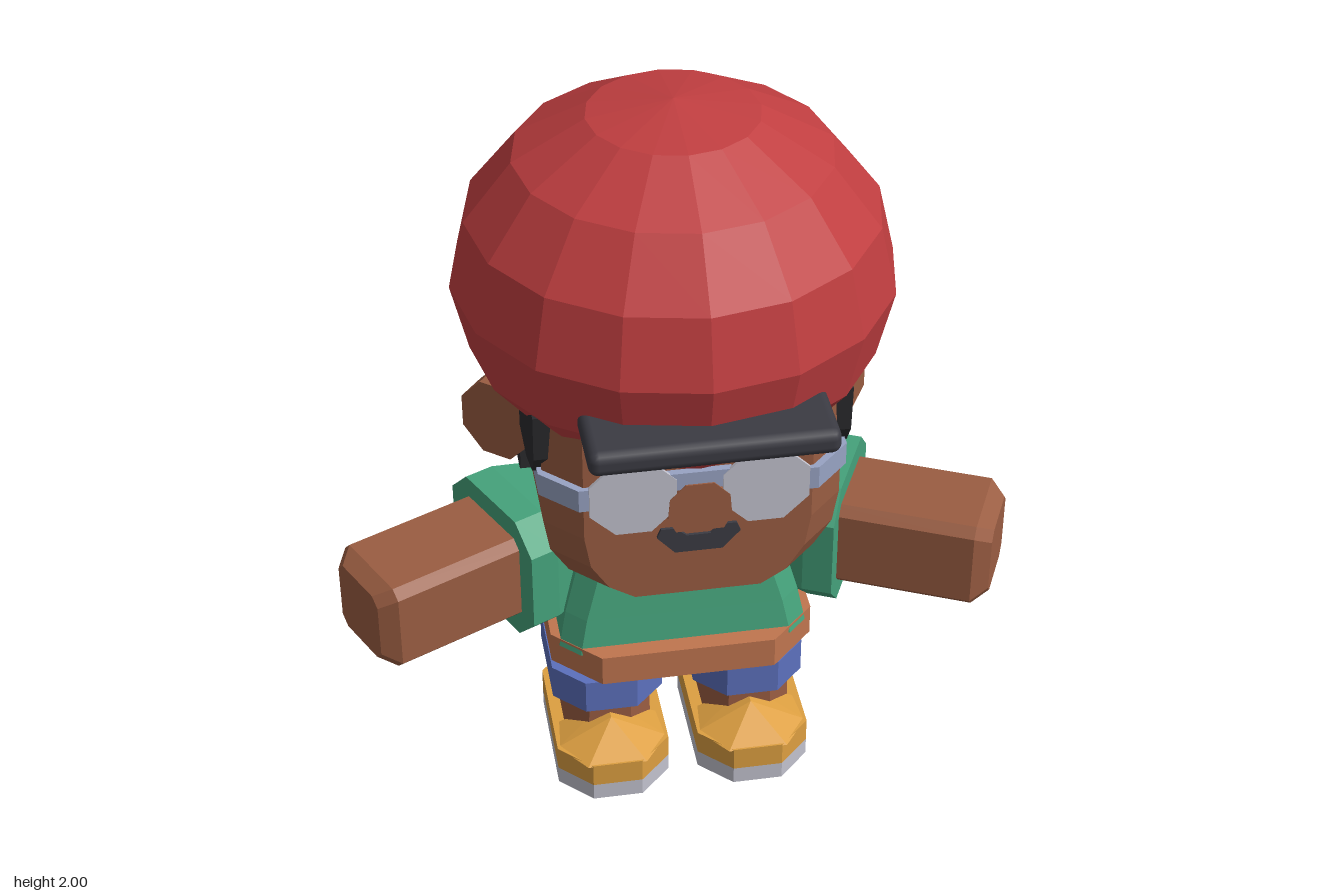
import * as THREE from 'three';
import { RoundedBoxGeometry } from 'three/addons/geometries/RoundedBoxGeometry.js';
import { ConvexGeometry } from 'three/addons/geometries/ConvexGeometry.js';

const mat = (name, color, side = THREE.FrontSide) => {
  const m = new THREE.MeshStandardMaterial({ color, side });
  m.name = name;
  return m;
};

// Chamfered block: octagonal rings [y, halfWidth, zBack, zFront, chamferBack, chamferFront]
function loft(rings) {
  const loops = rings.map(([y, w, z0, z1, cb, cf = cb]) => [
    [w - cf, y, z1], [w, y, z1 - cf], [w, y, z0 + cb], [w - cb, y, z0],
    [cb - w, y, z0], [-w, y, z0 + cb], [-w, y, z1 - cf], [cf - w, y, z1],
  ]);
  const pos = [];
  const tri = (...pts) => pts.forEach((p) => pos.push(...p));
  for (let r = 0; r < loops.length - 1; r++) {
    for (let i = 0; i < 8; i++) {
      const j = (i + 1) % 8, lo = loops[r], hi = loops[r + 1];
      tri(lo[i], lo[j], hi[j]);
      tri(lo[i], hi[j], hi[i]);
    }
  }
  const bottom = loops[0], top = loops[loops.length - 1];
  for (let i = 1; i < 7; i++) {
    tri(bottom[0], bottom[i + 1], bottom[i]);
    tri(top[0], top[i], top[i + 1]);
  }
  const g = new THREE.BufferGeometry();
  g.setAttribute('position', new THREE.Float32BufferAttribute(pos, 3));
  g.computeVertexNormals();
  return g;
}

const shapeOf = (pts) => new THREE.Shape(pts.map((p) => new THREE.Vector2(...p)));
const plate = (pts, depth) =>
  new THREE.ExtrudeGeometry(shapeOf(pts), { depth, bevelEnabled: false });

// Regular octagon with flat sides
const octagon = (rx, ry) => Array.from({ length: 8 }, (_, i) => {
  const a = (i + 0.5) * Math.PI / 4, k = Math.cos(Math.PI / 8);
  return [rx * Math.cos(a) / k, ry * Math.sin(a) / k];
});

export function createModel() {
  const model = new THREE.Group();
  const red = mat('cap red', 0xc03e40);
  const skin = mat('skin brown', 0x9a5d42);
  const green = mat('shirt green', 0x45a27b);
  const gold = mat('shoe gold', 0xdd9f41);
  const blue = mat('shorts blue', 0x5c70bd);
  const pale = mat('pale grey', 0xc2c2ce);
  const steel = mat('frame blue grey', 0x98a3c3);
  const tan = mat('belt tan', 0xc0754f);
  const black = mat('hair black', 0x2b2b2e);
  const dark = mat('charcoal', 0x3b3b43);

  const add = (name, geo, m, x = 0, y = 0, z = 0) => {
    const mesh = new THREE.Mesh(geo, m);
    mesh.name = name;
    mesh.position.set(x, y, z);
    model.add(mesh);
    return mesh;
  };

  // Cap: faceted ball with a rounded peak
  const ball = new THREE.SphereGeometry(1, 16, 8).scale(0.555, 0.47, 0.555).toNonIndexed();
  ball.computeVertexNormals();
  add('cap', ball, red, 0, 1.53, -0.025);
  add('capPeak', new RoundedBoxGeometry(0.6, 0.066, 0.22, 2, 0.025), dark, 0, 1.388, 0.472);

  // Head
  add('head', loft([
    [0.8, 0.25, -0.4, 0.345, 0.09],
    [0.84, 0.315, -0.4, 0.345, 0.09],
    [0.91, 0.36, -0.4, 0.345, 0.09],
    [1.0, 0.375, -0.4, 0.345, 0.09],
    [1.31, 0.375, -0.4, 0.345, 0.09],
  ]), skin);

  // Hair: back block and side panels
  add('hairBack', loft([
    [0.92, 0.395, -0.42, -0.08, 0.05, 0.002],
    [1.33, 0.395, -0.42, -0.08, 0.05, 0.002],
  ]), black);
  const sidePanel = plate([
    [-0.28, 1.33], [-0.27, 1.2], [-0.23, 1.14], [-0.1, 1.09], [0.1, 1.09], [0.1, 1.33],
  ], 0.79).translate(0, 0, -0.395).rotateY(Math.PI / 2);
  add('hairSides', sidePanel, black);

  // Glasses: band around the head, bridge and two lenses
  add('glassesBand', loft([
    [1.095, 0.386, -0.05, 0.358, 0.02, 0.088],
    [1.158, 0.386, -0.05, 0.358, 0.02, 0.088],
  ]), steel);
  add('glassesBridge', new THREE.BoxGeometry(0.16, 0.05, 0.02), steel, 0, 1.16, 0.354);
  for (const s of [-1, 1]) {
    add('lens', plate(octagon(0.108, 0.105), 0.009), pale, s * 0.165, 1.125, 0.357);
  }

  // Nose and moustache
  add('nose', plate([
    [-0.08, 1.05], [-0.06, 1.01], [0.06, 1.01], [0.08, 1.05],
    [0.075, 1.11], [0.035, 1.15], [-0.035, 1.15], [-0.075, 1.11],
  ], 0.028), skin, 0, 0, 0.34);
  add('moustache', plate([
    [-0.105, 0.985], [-0.06, 0.935], [0.06, 0.935], [0.105, 0.985], [0.095, 1.01],
    [0.06, 1.01], [0.03, 0.985], [-0.03, 0.985], [-0.06, 1.01], [-0.095, 1.01],
  ], 0.009), dark, 0, 0, 0.344);

  // Shirt, neckline and belt
  add('shirt', loft([
    [0.48, 0.33, -0.35, 0.175, 0.05],
    [0.58, 0.31, -0.335, 0.158, 0.05],
    [0.84, 0.235, -0.26, 0.115, 0.05],
  ]), green);
  const neckline = add('neckline', plate([[-0.15, 0.16], [0, 0], [0.15, 0.16]], 0.009),
    skin, 0, 0.65, 0.145);
  neckline.rotation.x = -0.164;
  add('belt', loft([
    [0.412, 0.35, -0.4, 0.22, 0.12],
    [0.5, 0.35, -0.4, 0.22, 0.12],
  ]), tan);

  const sleeveGeo = loft([
    [-0.26, 0.15, -0.15, 0.15, 0.06],
    [-0.08, 0.185, -0.195, 0.195, 0.075],
    [0, 0.185, -0.195, 0.195, 0.075],
  ]);
  const armGeo = loft([
    [-0.1, 0.127, -0.135, 0.135, 0.025],
    [0.36, 0.127, -0.135, 0.135, 0.025],
    [0.402, 0.1, -0.1, 0.1, 0.025],
  ]);
  const earGeo = plate(octagon(0.1, 0.108), 0.09).translate(0, 0, -0.045);
  const instepGeo = new ConvexGeometry([
    [-0.15, 0.11, 0.02], [0.15, 0.11, 0.02], [-0.15, 0.115, 0.12], [0.15, 0.115, 0.12],
    [-0.08, 0.115, 0.215], [0.08, 0.115, 0.215], [0, 0.185, 0.1], [0, 0.185, 0.03],
  ].map((p) => new THREE.Vector3(...p)));

  for (const s of [-1, 1]) {
    const side = s > 0 ? 'left' : 'right';
    // Ear, turned outward
    add(side + 'Ear', earGeo, skin, s * 0.425, 1.075, -0.12).rotation.y = s * 0.68;

    // Sleeve and arm, angled forward
    for (const [part, geo, m] of [['Sleeve', sleeveGeo, green], ['Arm', armGeo, skin]]) {
      add(side + part, geo, m, s * 0.48, 0.675, -0.04)
        .rotation.set(0, -s * 0.445, -s * Math.PI / 2, 'YXZ');
    }

    // Leg: shorts, cuff, shin, shoe and sole
    const x = s * 0.193;
    add(side + 'Shorts', loft([
      [0.3, 0.115, -0.265, 0.09, 0.06],
      [0.43, 0.09, -0.26, 0.08, 0.06],
    ]), blue, x);
    add(side + 'Cuff', loft([
      [0.232, 0.15, -0.295, 0.12, 0.08],
      [0.332, 0.15, -0.295, 0.12, 0.08],
    ]), blue, x);
    add(side + 'Shin', loft([
      [0.1, 0.12, -0.255, 0.08, 0.06],
      [0.26, 0.115, -0.255, 0.08, 0.06],
    ]), skin, x);
    add(side + 'Shoe', loft([
      [0.05, 0.152, -0.26, 0.215, 0.06, 0.085],
      [0.118, 0.152, -0.26, 0.215, 0.06, 0.085],
    ]), gold, x);
    add(side + 'Instep', instepGeo, gold, x);
    add(side + 'Sole', loft([
      [0, 0.152, -0.26, 0.215, 0.06, 0.085],
      [0.05, 0.152, -0.26, 0.215, 0.06, 0.085],
    ]), pale, x);
  }
  return model;
}
